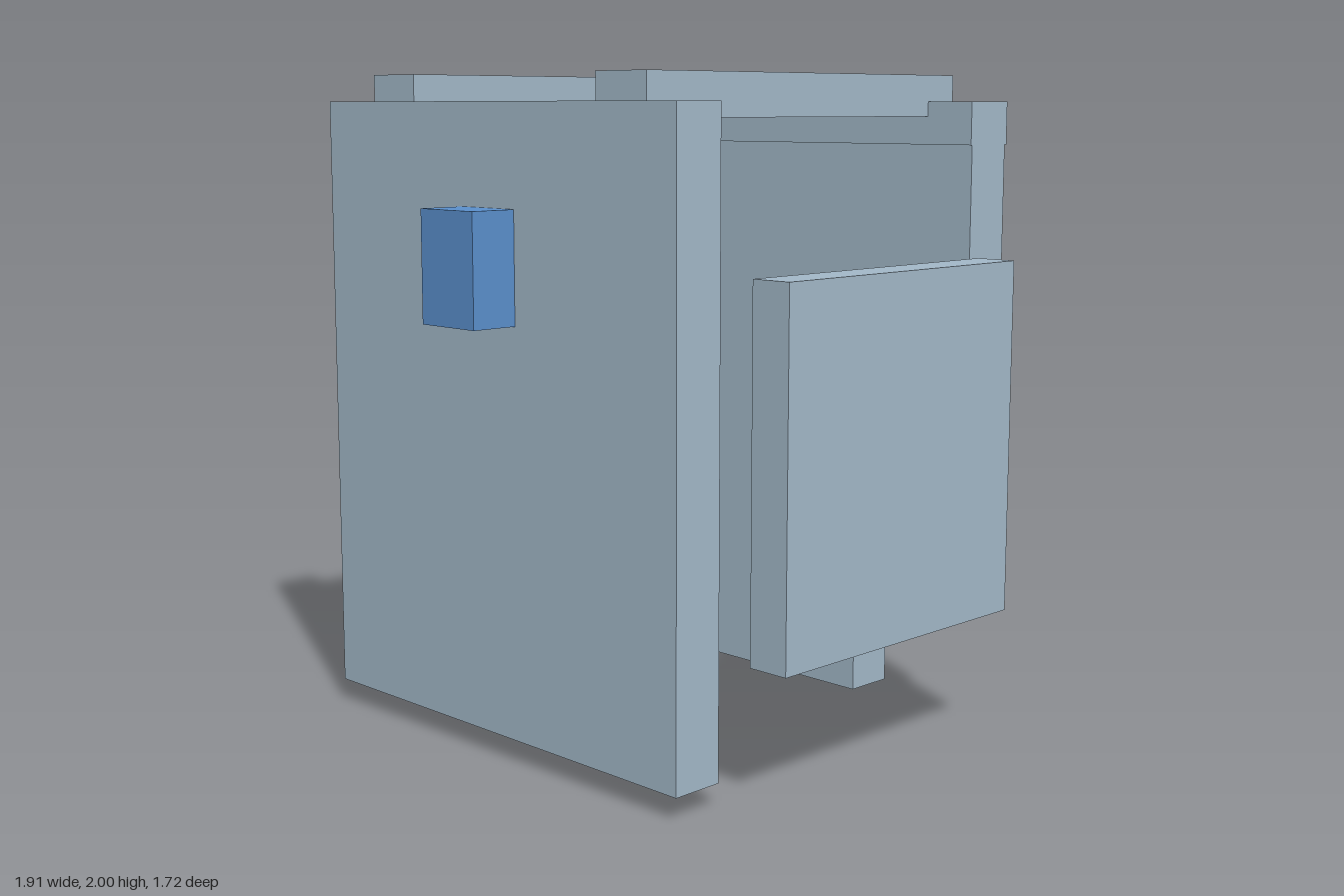
import * as THREE from 'three';

export function createModel() {
  const model = new THREE.Group();
  const steel = new THREE.MeshStandardMaterial({ color: 0xa3b8c8 });
  steel.name = 'pale steel';
  const blue = new THREE.MeshStandardMaterial({ color: 0x5a8fcc });
  blue.name = 'blue';

  // Box given by its extents on each axis
  function box(name, material, [x0, x1], [y0, y1], [z0, z1]) {
    const mesh = new THREE.Mesh(new THREE.BoxGeometry(x1 - x0, y1 - y0, z1 - z0), material);
    mesh.position.set((x0 + x1) / 2, (y0 + y1) / 2, (z0 + z1) / 2);
    mesh.name = name;
    model.add(mesh);
  }

  // Front panel
  box('frontPanel', steel, [-0.76, 0.76], [0.07, 1.92], [0.547, 0.711]);

  // Back panel, stepping inwards towards the bottom
  const outline = [[0.33, 0], [0.33, 0.24], [0.56, 0.24], [0.56, 0.93], [0.76, 0.93], [0.76, 1.85]];
  const mirrored = outline.map(([x, y]) => [-x, y]).reverse();
  const shape = new THREE.Shape([...outline, ...mirrored].map(([x, y]) => new THREE.Vector2(x, y)));
  const backPanel = new THREE.Mesh(
    new THREE.ExtrudeGeometry(shape, { depth: 0.166, bevelEnabled: false }), steel);
  backPanel.position.z = -0.711;
  backPanel.name = 'backPanel';
  model.add(backPanel);

  // Slightly thicker rail along the top of the back panel
  box('backRail', steel, [-0.761, 0.761], [1.79, 1.92], [-0.718, -0.538]);

  // Shoulder straps and side panels
  for (const [side, s] of [['left', 1], ['right', -1]]) {
    const span = (a, b) => (s > 0 ? [a, b] : [-b, -a]);
    box(side + 'Strap', steel, span(0.4, 0.597), [1.875, 2], [-0.66, 0.66]);
    box(side + 'SidePanel', steel, span(0.828, 0.957), [0.4, 1.457], [-0.496, 0.496]);
  }

  // Blue blocks on the front and back
  box('frontBlock', blue, [-0.115, 0.115], [1.29, 1.62], [0.711, 0.86]);
  box('backBlock', blue, [-0.115, 0.115], [1.29, 1.62], [-0.86, -0.711]);

  return model;
}
